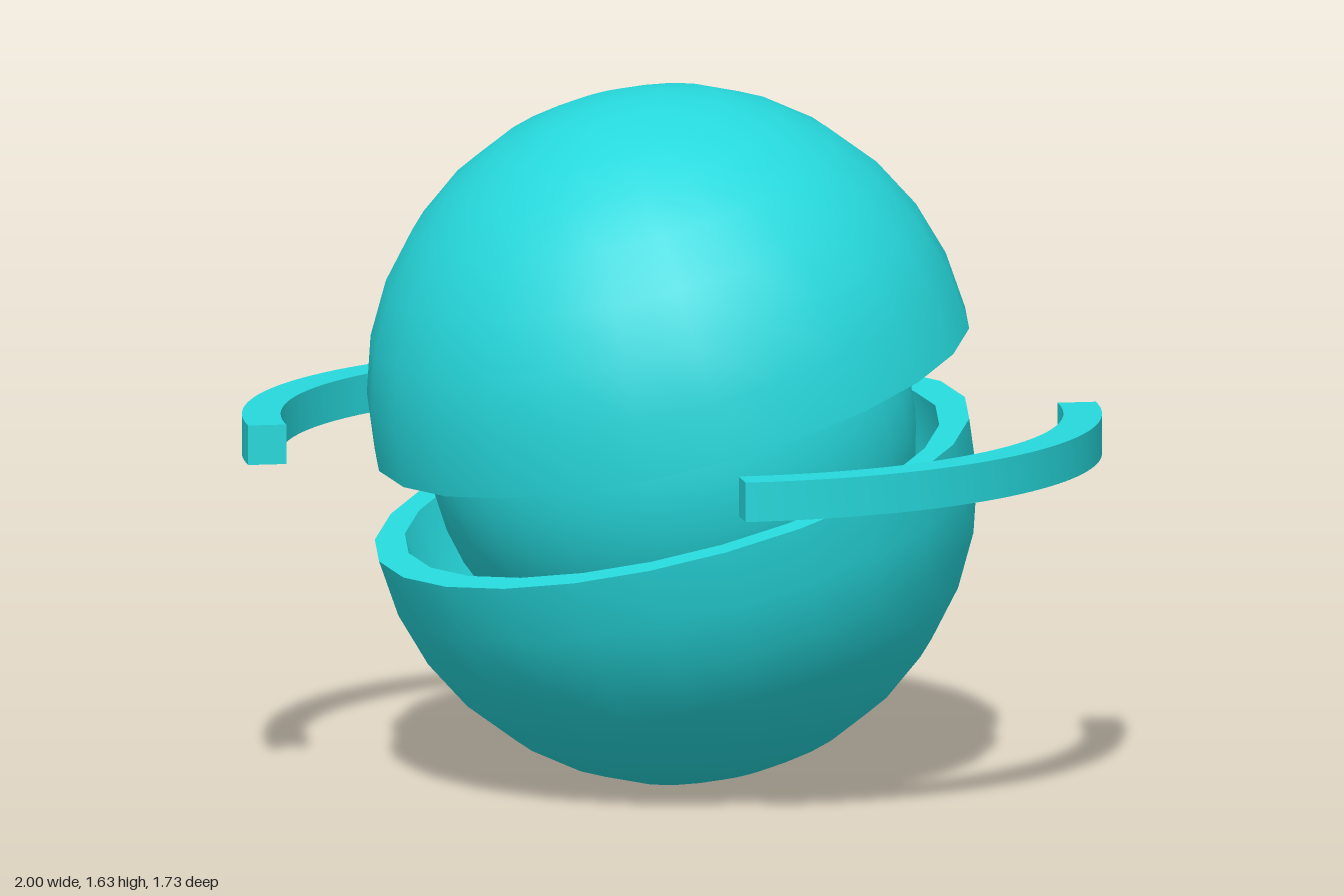
import * as THREE from 'three';
import { toCreasedNormals } from 'three/addons/utils/BufferGeometryUtils.js';

const R = 0.712, RIM = 0.64, CORE = 0.57, MID = 0.82;

// Hollow bowl, open at the top, rim on its own y = 0 plane
function bowlGeometry() {
  const points = [];
  const steps = 8;
  const at = (r, i) => {
    const a = (i / steps) * Math.PI / 2;
    return new THREE.Vector2(i === 0 ? 0 : r * Math.sin(a), i === steps ? 0 : -r * Math.cos(a));
  };
  for (let i = 0; i <= steps; i++) points.push(at(R, i));
  for (let i = steps; i >= 0; i--) points.push(at(RIM, i));
  return toCreasedNormals(new THREE.LatheGeometry(points, 24), 0.7);
}

// Flat quarter ring, lying in the xz plane
function arcGeometry(start, end, height) {
  const shape = new THREE.Shape();
  shape.absarc(0, 0, 1, start, end, false);
  shape.absarc(0, 0, 0.91, end, start, true);
  const g = new THREE.ExtrudeGeometry(shape, { depth: height, bevelEnabled: false, curveSegments: 24 });
  g.translate(0, 0, -height / 2);
  g.rotateX(Math.PI / 2);
  return toCreasedNormals(g, 0.5);
}

export function createModel() {
  const model = new THREE.Group();
  model.name = 'splitSphere';
  const teal = new THREE.MeshStandardMaterial({ color: 0x26d8dc });
  teal.name = 'teal';

  const add = (name, geometry, y) => {
    const mesh = new THREE.Mesh(geometry, teal);
    mesh.name = name;
    mesh.position.y = y;
    model.add(mesh);
    return mesh;
  };

  // Both shells share one tilted axis
  const axis = new THREE.Vector3(-0.056, 1, 0.262).normalize();
  const tilt = new THREE.Quaternion().setFromUnitVectors(new THREE.Vector3(0, 1, 0), axis);
  const bowl = bowlGeometry();
  add('lowerShell', bowl, 0.712).quaternion.copy(tilt);
  add('upperShell', bowl.clone().rotateX(Math.PI), 0.925).quaternion.copy(tilt);

  // Core between the shells
  add('core', new THREE.SphereGeometry(CORE, 32, 20), MID).quaternion.copy(tilt);

  // Two opposite quarter rings
  const arc = arcGeometry(-Math.PI / 3, Math.PI / 6, 0.093);
  add('leftArc', arc, MID);
  add('rightArc', arc, MID).rotation.y = Math.PI;

  return model;
}
